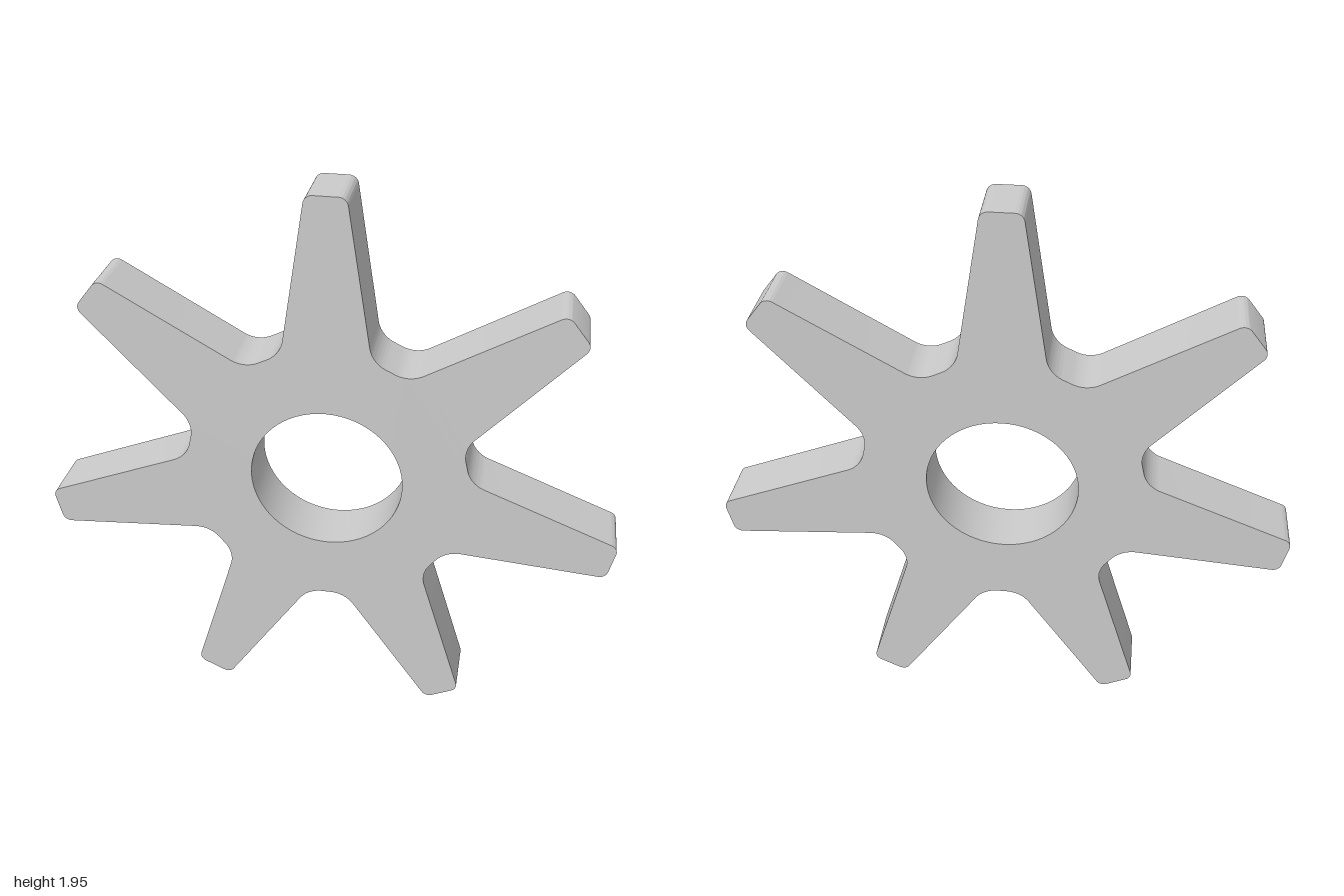
import * as THREE from 'three';
import { toCreasedNormals } from 'three/addons/utils/BufferGeometryUtils.js';

const TEETH = 7;
const CENTRE_Y = 0.937;
const HOLE_RADIUS = 0.2625;
const DEPTH = 0.2;

// One tooth pointing up: [x, y, corner radius], anticlockwise
const TOOTH = [
  [0.15, 0.469, 0.1],
  [0.066, 1.0155, 0.031],
  [-0.066, 1.0155, 0.031],
  [-0.15, 0.469, 0.1],
];

// Closed shape from corners, each replaced by a tangent arc
function roundedPolygon(corners) {
  const shape = new THREE.Shape();
  const n = corners.length;
  corners.forEach(({ p, radius }, i) => {
    const u = corners[(i + n - 1) % n].p.clone().sub(p).normalize();
    const v = corners[(i + 1) % n].p.clone().sub(p).normalize();
    const half = Math.acos(u.dot(v)) / 2;
    const reach = radius / Math.tan(half);
    const c = u.clone().add(v).normalize().multiplyScalar(radius / Math.sin(half)).add(p);
    const start = p.clone().addScaledVector(u, reach);
    const end = p.clone().addScaledVector(v, reach);
    if (i === 0) shape.moveTo(start.x, start.y);
    else shape.lineTo(start.x, start.y);
    shape.absarc(c.x, c.y, radius, start.sub(c).angle(), end.sub(c).angle(), u.cross(v) > 0);
  });
  shape.closePath();
  return shape;
}

export function createModel() {
  const group = new THREE.Group();
  group.name = 'sprocket';

  // Seven tapered teeth around the hub
  const corners = [];
  const origin = new THREE.Vector2();
  for (let i = 0; i < TEETH; i++) {
    for (const [x, y, radius] of TOOTH) {
      const p = new THREE.Vector2(x, y).rotateAround(origin, (i * 2 * Math.PI) / TEETH);
      corners.push({ p, radius });
    }
  }
  const shape = roundedPolygon(corners);

  // Round bore
  const bore = new THREE.Path();
  bore.absarc(0, 0, HOLE_RADIUS, 0, Math.PI * 2, true);
  shape.holes.push(bore);

  const extruded = new THREE.ExtrudeGeometry(shape, {
    depth: DEPTH, bevelEnabled: false, curveSegments: 32,
  });
  extruded.translate(0, 0, -DEPTH / 2);

  const wheel = new THREE.Mesh(
    toCreasedNormals(extruded, Math.PI / 6),
    new THREE.MeshStandardMaterial({ color: 0xcccccc }),
  );
  wheel.name = 'toothedWheel';
  wheel.position.y = CENTRE_Y;
  group.add(wheel);
  return group;
}
